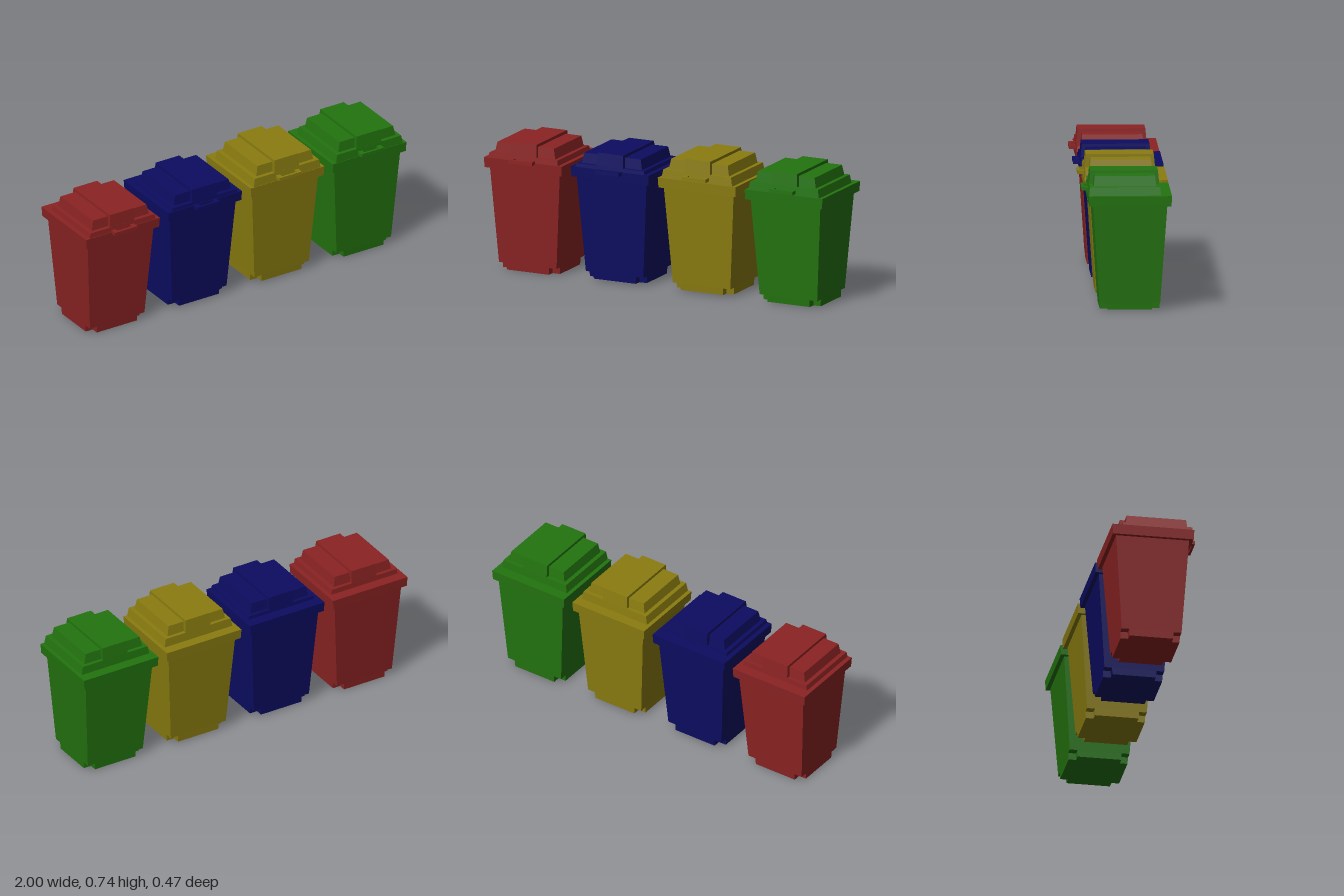
import * as THREE from 'three';

const SQUARE = [[-1, -1], [1, -1], [1, 1], [-1, 1]];
const N = 0.74; // start of the corner notch
const NOTCHED = [[-N, -1], [N, -1], [N, -N], [1, -N], [1, N], [N, N],
  [N, 1], [-N, 1], [-N, N], [-1, N], [-1, -N], [-N, -N]];

// Flat horizontal outline raised from y0 to y1
function prism(points, y0, y1) {
  const shape = new THREE.Shape(points.map(([x, y]) => new THREE.Vector2(x, y)));
  const g = new THREE.ExtrudeGeometry(shape, { depth: y1 - y0, bevelEnabled: false });
  return g.rotateX(-Math.PI / 2).translate(0, y0, 0);
}

// Unit outline tapered between two sections given as [half width, back z, front z]
function tapered(points, y0, y1, low, high) {
  const g = prism(points, y0, y1);
  const p = g.attributes.position;
  for (let i = 0; i < p.count; i++) {
    const t = (p.getY(i) - y0) / (y1 - y0);
    const [hx, back, front] = low.map((v, k) => v + (high[k] - v) * t);
    p.setX(i, p.getX(i) * hx);
    p.setZ(i, (back + front) / 2 + p.getZ(i) * (front - back) / 2);
  }
  g.computeVertexNormals();
  return g;
}

function createBin(material, bodyY, lidY) {
  const bin = new THREE.Group();
  const body = new THREE.Group();
  const lid = new THREE.Group();
  body.name = 'body';
  lid.name = 'lid';
  body.position.y = bodyY;
  lid.position.y = lidY;
  bin.add(body, lid);
  const add = (parent, name, geometry) => {
    const mesh = new THREE.Mesh(geometry, material);
    mesh.name = name;
    parent.add(mesh);
  };

  // Container: notched foot, tapering walls, overhanging rim
  const waist = [0.17, -0.175, 0.145];
  add(body, 'notchedBase', tapered(NOTCHED, 0, 0.037, [0.168, -0.173, 0.142], waist));
  add(body, 'walls', tapered(SQUARE, 0.037, 0.57, waist, [0.207, -0.212, 0.18]));
  add(body, 'rim', tapered(SQUARE, 0.558, 0.612, [0.227, -0.232, 0.2], [0.23, -0.235, 0.203]));

  // Lid: base step, raised panel, central ridge
  add(lid, 'lidBase', tapered(SQUARE, 0, 0.048, [0.209, -0.178, 0.201], [0.2, -0.174, 0.197]));
  add(lid, 'raisedPanel', tapered(SQUARE, 0.046, 0.103, [0.178, -0.155, 0.176], [0.167, -0.148, 0.17]));
  add(lid, 'ridge', tapered(SQUARE, 0.047, 0.118, [0.077, -0.174, 0.1965], [0.074, -0.167, 0.19]));

  // Grab handle open toward the lid
  add(lid, 'handle', prism([[-0.07, -0.19], [-0.07, -0.235], [0.07, -0.235], [0.07, -0.19],
    [0.046, -0.19], [0.046, -0.222], [-0.046, -0.222], [-0.046, -0.19]], 0.012, 0.031));
  return bin;
}

export function createModel() {
  const model = new THREE.Group();
  model.name = 'wheelieBinRow';
  const bins = [
    ['red', 0x8b2323, -0.77, 0, 0.592],
    ['blue', 0x0c0c62, -0.257, 0.01, 0.593],
    ['yellow', 0x8a7c10, 0.257, 0.008, 0.619],
    ['green', 0x23740f, 0.77, 0.003, 0.612],
  ];
  for (const [name, color, x, bodyY, lidY] of bins) {
    const material = new THREE.MeshStandardMaterial({ color });
    material.name = name;
    const bin = createBin(material, bodyY, lidY);
    bin.name = name + 'Bin';
    bin.position.x = x;
    model.add(bin);
  }
  return model;
}
